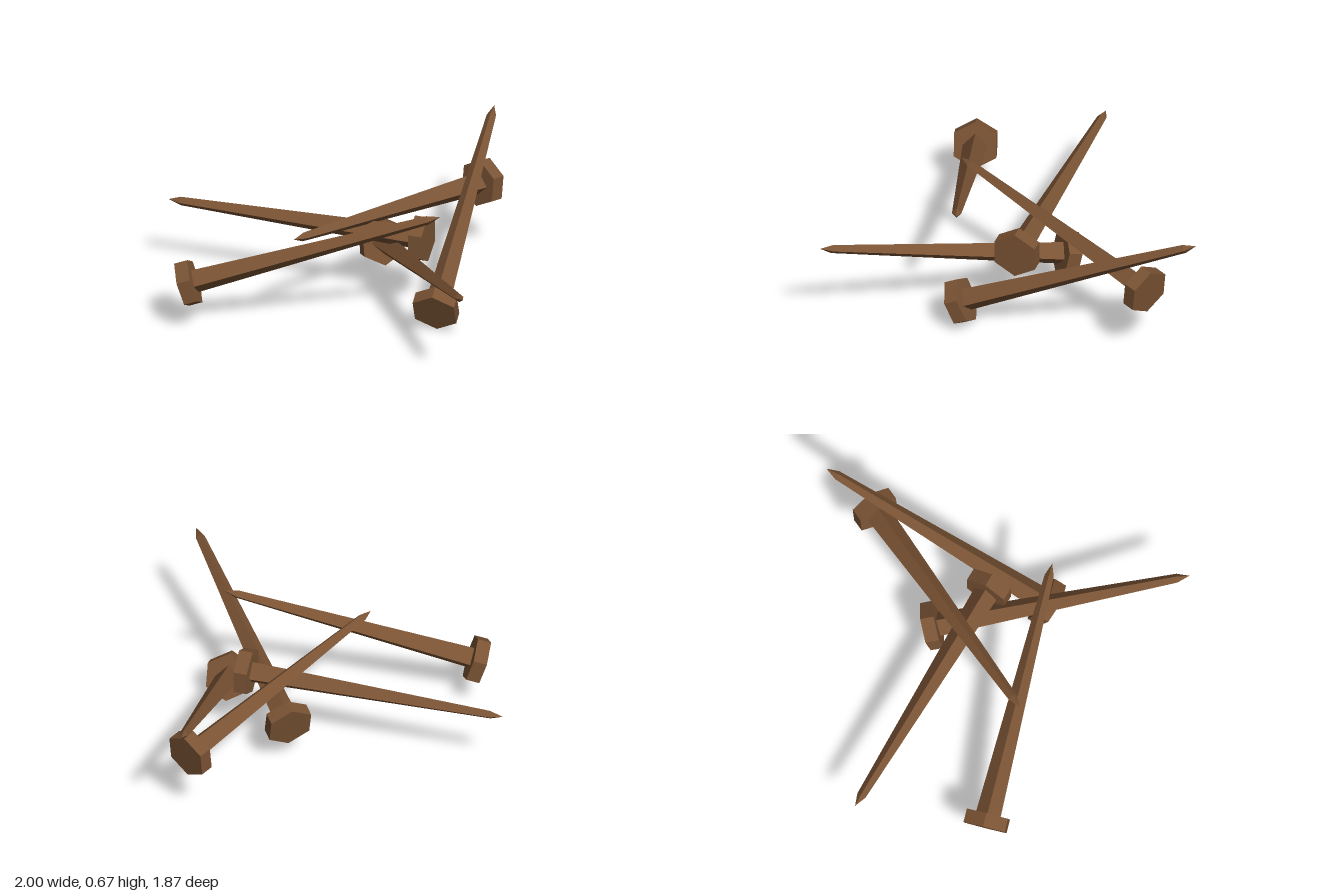
import * as THREE from 'three';

// Five crossed spikes: head centre and point of each
const SPIKES = [
  { head: [-0.585, 0.24, 0.82], tip: [0.56, 0.657, 0.26] },
  { head: [0.53, 0.13, 0.25], tip: [0.19, 0.672, -0.93] },
  { head: [0.325, 0.38, 0.04], tip: [-1.0, 0.38, 0.3] },
  { head: [0.27, 0.37, -0.675], tip: [-0.09, 0.518, 0.61] },
  { head: [0.025, 0.24, -0.078], tip: [1.0, 0.533, 0.795] },
];

const HEAD_RADIUS = 0.124;
const HEAD_THICKNESS = 0.07;
const BASE_RADIUS = 0.065;
const END_RADIUS = 0.024;
const POINT_LENGTH = 0.065;

function createSpike(length, material) {
  const spike = new THREE.Group();
  const add = (name, geometry, y) => {
    const mesh = new THREE.Mesh(geometry, material);
    mesh.name = name;
    mesh.position.y = y;
    spike.add(mesh);
  };
  const shaft = length - POINT_LENGTH;

  // Six-sided head, tapered square shaft with a ridge on top, short point
  add('head', new THREE.CylinderGeometry(HEAD_RADIUS, HEAD_RADIUS, HEAD_THICKNESS, 6), 0);
  add('shaft', new THREE.CylinderGeometry(END_RADIUS, BASE_RADIUS, shaft, 4), shaft / 2);
  add('point', new THREE.ConeGeometry(END_RADIUS, POINT_LENGTH, 4), shaft + POINT_LENGTH / 2);
  return spike;
}

export function createModel() {
  const model = new THREE.Group();
  model.name = 'spikePile';
  const rust = new THREE.MeshStandardMaterial({ color: 0x7a5334, flatShading: true });
  rust.name = 'rusty brown';

  SPIKES.forEach(({ head, tip }, i) => {
    const start = new THREE.Vector3(...head);
    const axis = new THREE.Vector3(...tip).sub(start);
    const spike = createSpike(axis.length(), rust);
    spike.name = `spike${i + 1}`;

    // Aim along the axis, keeping one corner of the head uppermost
    axis.normalize();
    const up = new THREE.Vector3(0, 1, 0).addScaledVector(axis, -axis.y).normalize();
    const side = new THREE.Vector3().crossVectors(axis, up);
    spike.quaternion.setFromRotationMatrix(new THREE.Matrix4().makeBasis(side, axis, up));
    spike.position.copy(start);
    model.add(spike);
  });
  return model;
}
